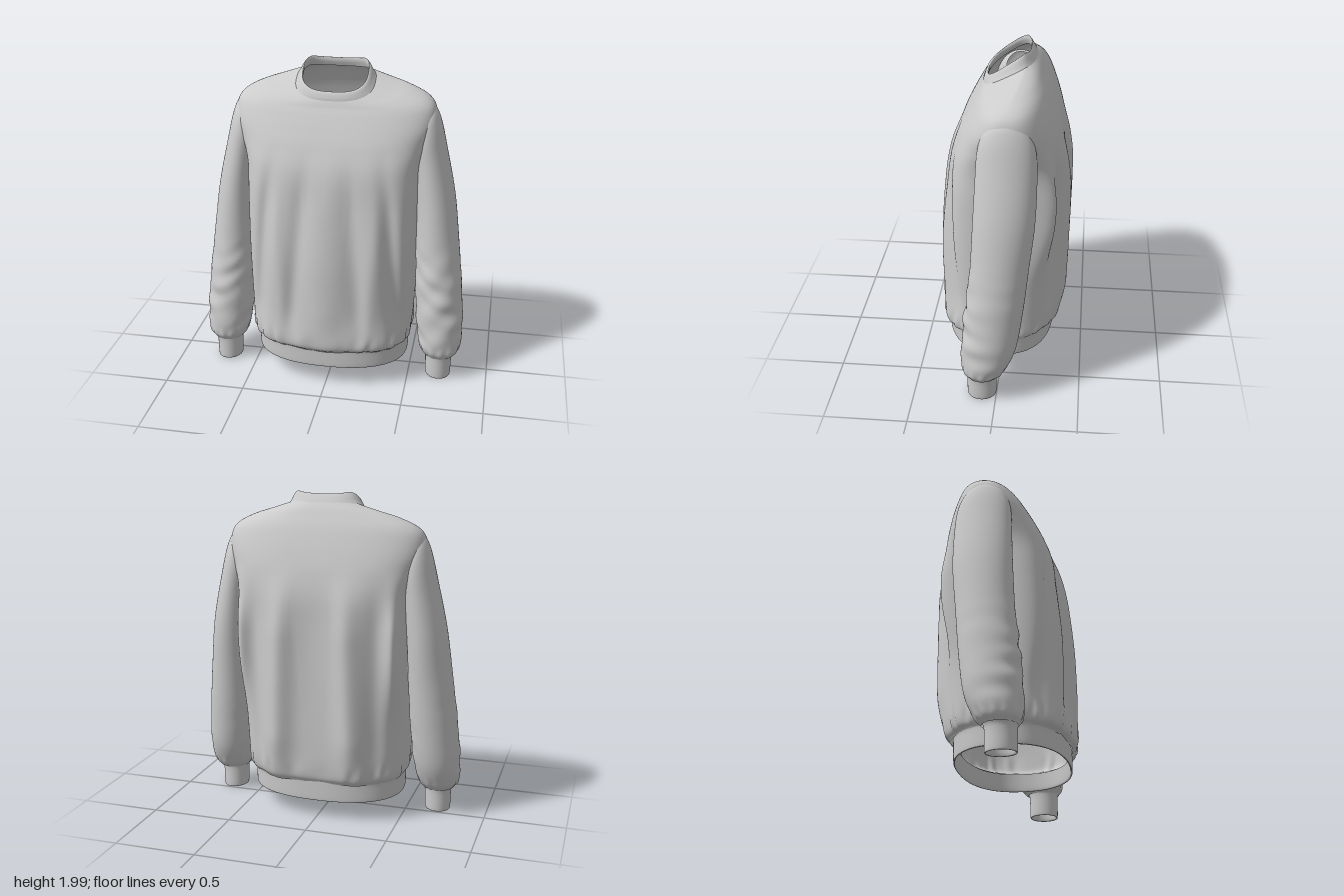
import * as THREE from 'three';

const material = new THREE.MeshStandardMaterial({ color: 0xcccccc, roughness: 0.9, side: THREE.DoubleSide });
const smooth = THREE.MathUtils.smoothstep;
const bump = (x, centre, width) => Math.exp(-(((x - centre) / width) ** 2));
const spow = (v, e) => Math.sign(v) * Math.abs(v) ** e;

// Skin a surface through key cross-sections; point(key, angle) gives [x, y, z].
function loft(name, keys, rows, segments, point, mirror = 1) {
  const size = keys[0].length;
  const curve = new THREE.CubicInterpolant(keys.map((_, i) => i), keys.flat(), size);
  const positions = [], index = [];
  for (let r = 0; r <= rows; r++) {
    const key = Array.from(curve.evaluate((r / rows) * (keys.length - 1)));
    for (let s = 0; s < segments; s++) {
      const [x, y, z] = point(key, (s / segments) * Math.PI * 2);
      positions.push(x * mirror, y, z);
      if (r === rows) continue;
      const a = r * segments + s, b = r * segments + ((s + 1) % segments);
      const c = a + segments, d = b + segments;
      if (mirror > 0) index.push(a, b, d, a, d, c);
      else index.push(a, d, b, a, c, d);
    }
  }
  const geometry = new THREE.BufferGeometry();
  geometry.setAttribute('position', new THREE.Float32BufferAttribute(positions, 3));
  geometry.setIndex(index);
  geometry.computeVertexNormals();
  const mesh = new THREE.Mesh(geometry, material);
  mesh.name = name;
  return mesh;
}

// Torso section: half width, front z, back z, y at front / ridge / back, roundness, middle z, ridge z
function torsoPoint([a, zf, zb, yF, yS, yB, e, mid, ridge], t) {
  const s = Math.sin(t), c = Math.cos(t);
  const x = a * spow(s, e);
  const z = mid + (c > 0 ? zf - mid : mid - zb) * spow(c, e);
  const [yEnd, zEnd] = z > ridge ? [yF, zf] : [yB, zb];
  const y = yS + (yEnd - yS) * Math.abs((z - ridge) / (zEnd - ridge)) ** 1.15;
  return [x, y, z];
}

// Torso with long slanting drapes and gathers above the hem
function drapedPoint(key, t) {
  let [x, y, z] = torsoPoint(key, t);
  const c = Math.cos(t), u = Math.abs(x);
  const drape = (1 - smooth(y, 1.15, 1.6)) * (0.35 + 0.65 * smooth(y, 0.24, 0.55)) * smooth(Math.abs(c), 0, 0.3);
  const lean = 0.1 * (0.8 - y);
  if (c > 0) {
    z += drape * (0.035 * bump(u, 0, 0.1) - 0.022 * bump(u - lean, 0.18, 0.055)
      + 0.012 * bump(u + lean, 0.29, 0.06) - 0.035 * bump(u - lean, 0.4, 0.05));
  } else {
    z -= drape * (0.058 * bump(u - lean * 0.4, 0.22, 0.085) - 0.015 * bump(u, 0.37, 0.05)
      + 0.085 * smooth(y, 0.55, 1.1) * bump(u, 0.495, 0.06));
  }
  const gather = 1 + 0.01 * bump(y, 0.3, 0.06) * (Math.sin(23 * t) + 0.6 * Math.sin(37 * t + 1));
  return [x * gather, y, z * gather];
}

// Sleeve section: outer x, outer y, inner x, inner y, front z, back z
function sleevePoint([xo, yo, xi, yi, zf, zb], t) {
  const s = Math.sin(t), c = Math.cos(t);
  return [(xo + xi) / 2 + ((xo - xi) / 2) * s, (yo + yi) / 2 + ((yo - yi) / 2) * s, (zf + zb) / 2 + ((zf - zb) / 2) * c];
}

// Sleeve with slanting creases around the forearm
function creasedPoint(key, t) {
  const [x, y, z] = sleevePoint(key, t);
  const cx = (key[0] + key[2]) / 2, cz = (key[4] + key[5]) / 2;
  const strength = smooth(y, 0.16, 0.28) * (1 - smooth(y, 0.6, 1.0));
  const crease = Math.sin(y * 46 + 3 * Math.sin(t) + Math.cos(2 * t)) * Math.cos(1.5 * Math.sin(t + 5 * y))
    + 0.6 * Math.sin(y * 27 - 4 * Math.sin(t));
  const gather = 0.03 * bump(y, 0.19, 0.04) * Math.sin(13 * t);
  const k = 1 + 0.035 * strength * crease * (0.5 + 0.5 * Math.cos(t)) + gather;
  return [cx + (x - cx) * k, y, cz + (z - cz) * k];
}

export function createModel() {
  const group = new THREE.Group();
  group.name = 'sweatshirt';

  // Body widening above the armpits into the shoulders
  group.add(loft('body', [
    [0.485, 0.355, -0.31, 0.245, 0.245, 0.24, 0.78, 0.02, 0],
    [0.505, 0.388, -0.335, 0.3, 0.3, 0.3, 0.7, 0.02, 0],
    [0.512, 0.377, -0.345, 0.5, 0.5, 0.5, 0.66, 0.01, 0],
    [0.515, 0.368, -0.35, 0.85, 0.85, 0.85, 0.58, 0, 0],
    [0.515, 0.335, -0.352, 1.2, 1.2, 1.2, 0.52, -0.01, 0],
    [0.522, 0.31, -0.357, 1.4, 1.4, 1.4, 0.55, -0.03, -0.03],
    [0.565, 0.265, -0.342, 1.54, 1.53, 1.54, 0.64, -0.05, -0.05],
    [0.603, 0.218, -0.315, 1.64, 1.64, 1.65, 0.72, -0.05, -0.05],
    [0.6, 0.174, -0.282, 1.72, 1.737, 1.75, 0.78, -0.05, -0.05],
    [0.555, 0.152, -0.258, 1.755, 1.8, 1.81, 0.8, -0.05, -0.06],
    [0.455, 0.143, -0.232, 1.773, 1.852, 1.86, 0.8, -0.05, -0.08],
    [0.34, 0.137, -0.207, 1.785, 1.893, 1.905, 0.78, -0.04, -0.11],
    [0.236, 0.13, -0.18, 1.797, 1.932, 1.94, 0.75, -0.03, -0.13],
  ], 120, 160, drapedPoint));

  // Ribbed neckband, lying flush and rolled over to the inside
  group.add(loft('collar', [
    [0.24, 0.131, -0.182, 1.793, 1.928, 1.937, 0.75, -0.03, -0.13],
    [0.225, 0.128, -0.172, 1.812, 1.952, 1.955, 0.75, -0.03, -0.13],
    [0.207, 0.117, -0.157, 1.838, 1.985, 1.978, 0.72, -0.03, -0.12],
    [0.195, 0.104, -0.147, 1.845, 1.998, 1.987, 0.7, -0.03, -0.12],
    [0.193, 0.1, -0.145, 1.83, 1.975, 1.965, 0.7, -0.03, -0.12],
    [0.205, 0.11, -0.155, 1.795, 1.94, 1.935, 0.72, -0.03, -0.12],
  ], 20, 96, torsoPoint));

  // Waistband with a turned lower edge
  group.add(loft('hem', [
    [0.462, 0.34, -0.296, 0.24, 0.24, 0.235, 0.85, 0.02, 0],
    [0.468, 0.346, -0.3, 0.15, 0.14, 0.14, 0.85, 0.02, 0],
    [0.478, 0.355, -0.308, 0.135, 0.13, 0.122, 0.85, 0.02, 0],
    [0.483, 0.36, -0.312, 0.15, 0.145, 0.14, 0.85, 0.02, 0],
    [0.484, 0.36, -0.313, 0.235, 0.23, 0.225, 0.83, 0.02, 0],
    [0.487, 0.36, -0.313, 0.255, 0.255, 0.25, 0.8, 0.02, 0],
  ], 25, 128, torsoPoint));

  for (const [side, label] of [[1, 'left'], [-1, 'right']]) {
    // Sleeve running up inside the shoulder
    group.add(loft(label + 'Sleeve', [
      [0.79, 0.155, 0.6, 0.155, 0.182, -0.015],
      [0.822, 0.21, 0.565, 0.21, 0.208, -0.06],
      [0.83, 0.35, 0.54, 0.35, 0.208, -0.118],
      [0.812, 0.6, 0.522, 0.57, 0.188, -0.155],
      [0.778, 0.9, 0.512, 0.83, 0.155, -0.185],
      [0.738, 1.2, 0.505, 1.1, 0.138, -0.215],
      [0.675, 1.49, 0.49, 1.32, 0.125, -0.222],
      [0.63, 1.67, 0.47, 1.44, 0.115, -0.215],
      [0.585, 1.75, 0.45, 1.52, 0.09, -0.185],
      [0.5, 1.77, 0.44, 1.58, 0.04, -0.14],
    ], 120, 64, creasedPoint, side));

    // Cuff with a turned lower edge
    group.add(loft(label + 'Cuff', [
      [0.755, 0.14, 0.625, 0.14, 0.16, 0.015],
      [0.755, 0.025, 0.625, 0.03, 0.162, 0.012],
      [0.764, 0.005, 0.615, 0.012, 0.172, 0.004],
      [0.77, 0.022, 0.61, 0.03, 0.176, 0],
      [0.773, 0.13, 0.607, 0.13, 0.177, -0.002],
      [0.785, 0.165, 0.603, 0.165, 0.18, -0.008],
    ], 20, 48, sleevePoint, side));
  }
  return group;
}
